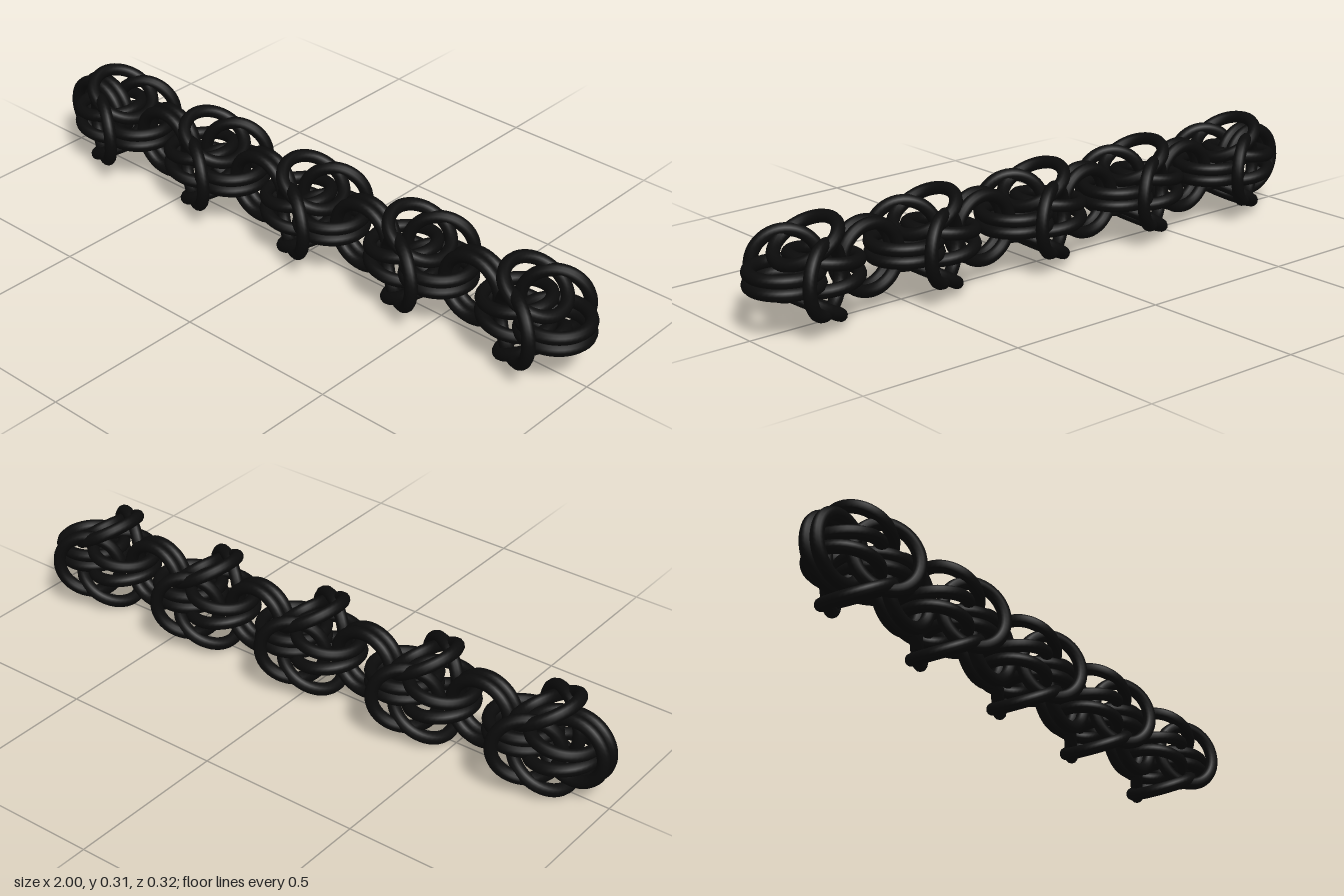
import * as THREE from 'three';

const R = 0.096, WIRE = 0.019, MID = 0.153, PITCH = 0.4, COUNT = 5;

// Two ring blanks: one standing in the xy plane, one lying in the xz plane
const upright = new THREE.TorusGeometry(R, WIRE, 12, 44);
const flat = upright.clone().rotateX(Math.PI / 2);
const metal = new THREE.MeshStandardMaterial({ color: 0x0b0b0b });

function ring(parent, name, geometry, x, y, z, turnY = 0, turnZ = 0) {
  const mesh = new THREE.Mesh(geometry, metal);
  mesh.name = name;
  mesh.position.set(x, y, z);
  mesh.rotation.set(0, turnY, turnZ);
  parent.add(mesh);
}

// One woven knot; every kind of ring comes as a mirrored pair
function knot() {
  const g = new THREE.Group();
  const tilt = Math.PI / 6, open = 0.13;
  for (const s of [1, -1]) {
    // flat pair at the start, spreading slightly towards the middle
    ring(g, 'entryRing', flat, -0.045, s * (WIRE + R * Math.sin(open)), 0, 0, s * open);
    // folded pair, tips up and down, leaning to -x
    ring(g, 'foldedRingVertical', flat, 0.013, s * 0.086, 0, 0, -s * tilt);
    // folded pair, tips front and back, leaning to +x
    ring(g, 'foldedRingSideways', upright, 0.017, 0, s * 0.092, -s * tilt);
    // flat pair at the end
    ring(g, 'exitRing', flat, 0.085, s * WIRE * 0.95, 0);
  }
  return g;
}

export function createModel() {
  const chain = new THREE.Group();
  chain.name = 'wovenRingChain';
  for (let i = 0; i < COUNT; i++) {
    const x = (i - (COUNT - 1) / 2) * PITCH;
    const k = knot();
    k.name = 'knot';
    k.position.set(x, MID, 0);
    chain.add(k);
    // upright linking pair before each knot; the first sits tight against its knot
    const linkX = x - (i === 0 ? 0.085 : 0.185);
    for (const s of [1, -1]) ring(chain, 'linkRing', upright, linkX, MID, s * WIRE * 0.95);
  }
  return chain;
}
